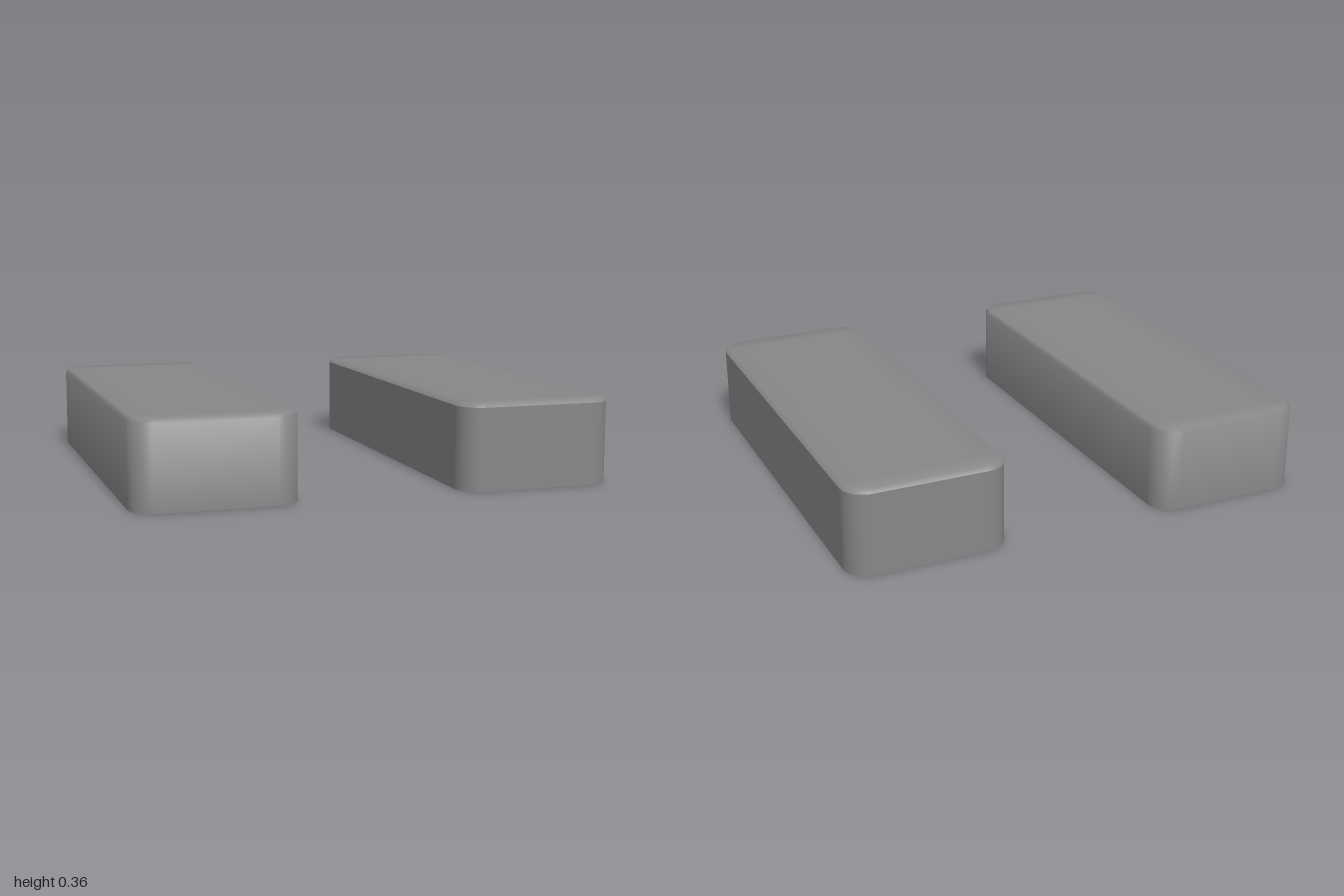
import * as THREE from 'three';

const HALF_W = 0.3335, HALF_L = 0.895, HEIGHT = 0.357, RADIUS = 0.1, ARC = 8;
const EDGE = 0.016;

// Cross-sections as [inset, y, upward tilt of the normal in degrees]
const LID = [[EDGE, HEIGHT, 70], [RADIUS, HEIGHT, 90]];
const SOFT = [[0, 0, 0], [0, HEIGHT - EDGE, 20], ...LID];
const CRISP = [[0, 0, 0], [0, HEIGHT - EDGE, 0], [0, HEIGHT - EDGE, 45], ...LID];

// Thin shell, open underneath: wall, bevelled top edge, flat lid
function shellGeometry(sections) {
  const positions = [], normals = [], index = [];
  const corners = [[1, 1], [-1, 1], [-1, -1], [1, -1]];
  for (const [inset, y, tilt] of sections) {
    const r = RADIUS - inset;
    const up = Math.sin(tilt * Math.PI / 180), out = Math.cos(tilt * Math.PI / 180);
    corners.forEach(([sx, sz], c) => {
      for (let i = 0; i <= ARC; i++) {
        const a = (c + i / ARC) * Math.PI / 2;
        const dx = Math.cos(a), dz = Math.sin(a);
        positions.push(sx * (HALF_W - RADIUS) + r * dx, y, sz * (HALF_L - RADIUS) + r * dz);
        normals.push(out * dx, up, out * dz);
      }
    });
  }

  const n = 4 * (ARC + 1);
  for (let s = 0; s < sections.length - 1; s++) {
    for (let i = 0; i < n; i++) {
      const j = (i + 1) % n;
      const a = s * n + i, b = s * n + j, c = a + n, d = b + n;
      index.push(a, c, b, b, c, d);
    }
  }
  // Middle of the lid, spanning the four corner centres
  const [p, q, r, t] = [0, 1, 2, 3].map(c => (sections.length - 1) * n + c * (ARC + 1));
  index.push(p, r, q, p, t, r);

  const geometry = new THREE.BufferGeometry();
  geometry.setAttribute('position', new THREE.Float32BufferAttribute(positions, 3));
  geometry.setAttribute('normal', new THREE.Float32BufferAttribute(normals, 3));
  geometry.setIndex(index);
  return geometry;
}

export function createModel() {
  const group = new THREE.Group();
  const material = new THREE.MeshStandardMaterial({ color: 0x878787, side: THREE.DoubleSide });
  // Pair of long covers: crisp top edge on the left one, soft on the right one
  for (const [name, side, sections] of [['leftCover', 1, CRISP], ['rightCover', -1, SOFT]]) {
    const cover = new THREE.Mesh(shellGeometry(sections), material);
    cover.name = name;
    cover.position.x = side * (1 - HALF_W);
    group.add(cover);
  }
  return group;
}
